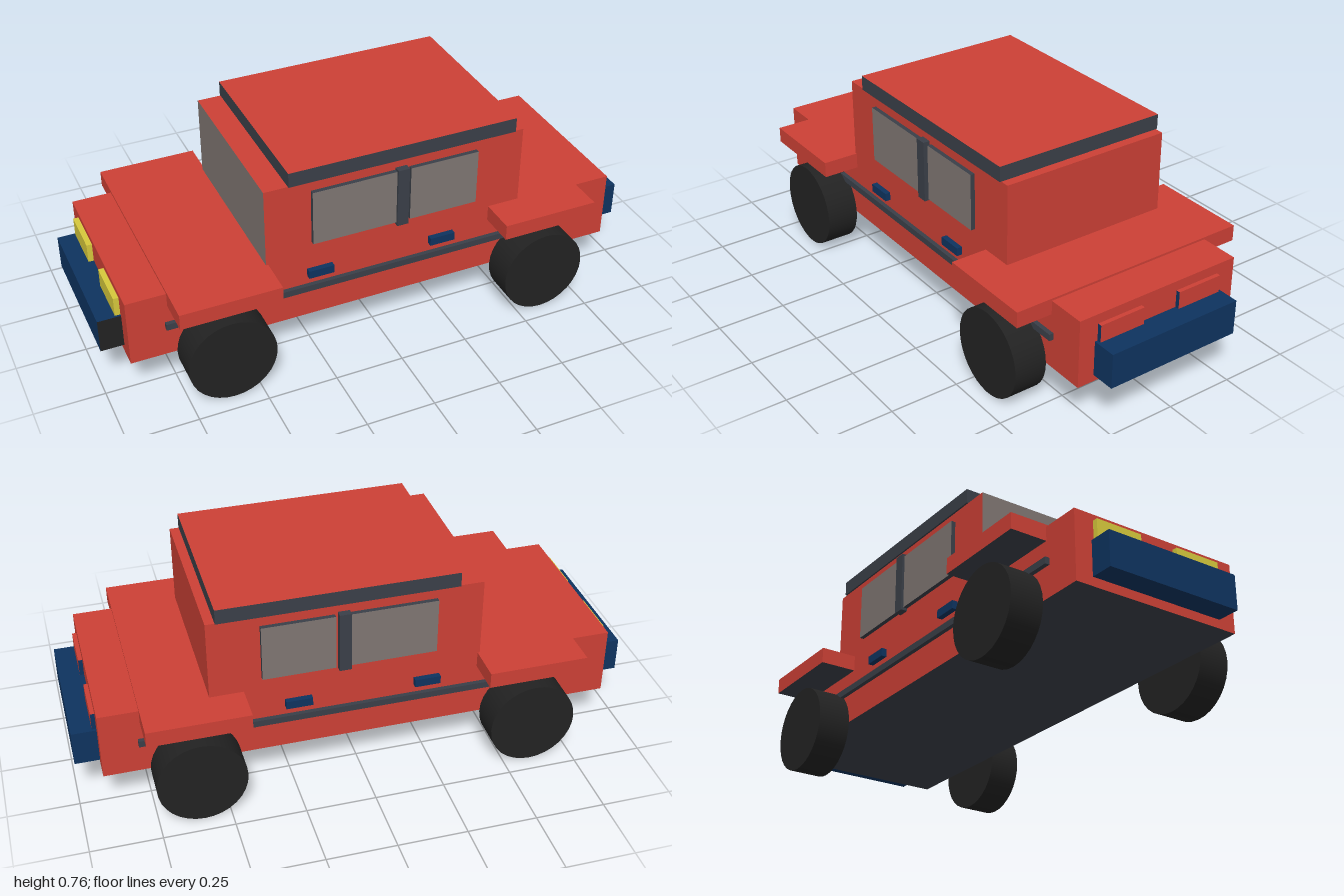
import * as THREE from 'three';

const mat = (name, color) => {
  const m = new THREE.MeshStandardMaterial({ color });
  m.name = name;
  return m;
};

export function createModel() {
  const red = mat('red paint', 0xcc4035);
  const trim = mat('charcoal trim', 0x3a3f48);
  const blue = mat('navy blue', 0x0e335f);
  const glass = mat('grey glass', 0x7f7672);
  const black = mat('black rubber', 0x222222);
  const yellow = mat('headlight yellow', 0xd6c83c);

  const car = new THREE.Group();
  car.name = 'car';

  // Box given by its limits; materials in the order +x, -x, +y, -y, +z, -z
  const box = (name, x0, x1, y0, y1, z0, z1, material) => {
    const mesh = new THREE.Mesh(new THREE.BoxGeometry(x1 - x0, y1 - y0, z1 - z0), material);
    mesh.position.set((x0 + x1) / 2, (y0 + y1) / 2, (z0 + z1) / 2);
    mesh.name = name;
    car.add(mesh);
  };

  // Body, cabin with windshield face, and roof with dark edges
  box('body', -0.918, 0.913, 0.163, 0.412, -0.32, 0.32, [red, red, red, trim, red, red]);
  box('cabin', -0.428, 0.535, 0.405, 0.712, -0.32, 0.32, [red, glass, red, red, red, red]);
  box('roof', -0.342, 0.502, 0.712, 0.766, -0.326, 0.326, [trim, trim, red, trim, trim, trim]);

  // Full-width fender slabs
  const fender = [red, red, red, trim, red, red];
  box('frontFender', -0.777, -0.42, 0.362, 0.42, -0.454, 0.454, fender);
  box('rearFender', 0.416, 0.773, 0.362, 0.42, -0.454, 0.454, fender);

  // Bumpers
  box('frontBumper', -1, -0.918, 0.195, 0.32, -0.256, 0.256, [blue, blue, blue, blue, black, blue]);
  box('rearBumper', 0.913, 1, 0.187, 0.314, -0.258, 0.258, blue);

  for (const s of [1, -1]) {
    // Parts standing out from one side, mirrored in z
    const side = (name, x0, x1, y0, y1, depth, material) =>
      box(name, x0, x1, y0, y1, s > 0 ? 0.315 : -depth, s > 0 ? depth : -0.315, material);
    const pane = [trim, trim, trim, trim, glass, glass];
    side('frontWindow', -0.262, 0.05, 0.468, 0.675, 0.336, pane);
    side('rearWindow', 0.098, 0.354, 0.468, 0.675, 0.336, pane);
    side('windowPillar', 0.046, 0.088, 0.458, 0.683, 0.345, trim);
    side('sideMoulding', -0.79, 0.785, 0.273, 0.297, 0.336, trim);
    side('frontDoorHandle', -0.28, -0.187, 0.33, 0.36, 0.34, blue);
    side('rearDoorHandle', 0.181, 0.275, 0.33, 0.36, 0.34, blue);

    // Lamps
    const z0 = s > 0 ? 0.073 : -0.248;
    box('headlight', -0.937, -0.913, 0.315, 0.39, z0, z0 + 0.175, yellow);
    box('tailLight', 0.908, 0.928, 0.312, 0.377, z0, z0 + 0.175, [red, red, red, red, blue, blue]);

    // Wheels
    for (const x of [-0.599, 0.594]) {
      const wheel = new THREE.Mesh(new THREE.CylinderGeometry(0.157, 0.157, 0.12, 32), black);
      wheel.rotation.x = Math.PI / 2;
      wheel.position.set(x, 0.159, s * 0.381);
      wheel.name = x < 0 ? 'frontWheel' : 'rearWheel';
      car.add(wheel);
    }
  }
  return car;
}
